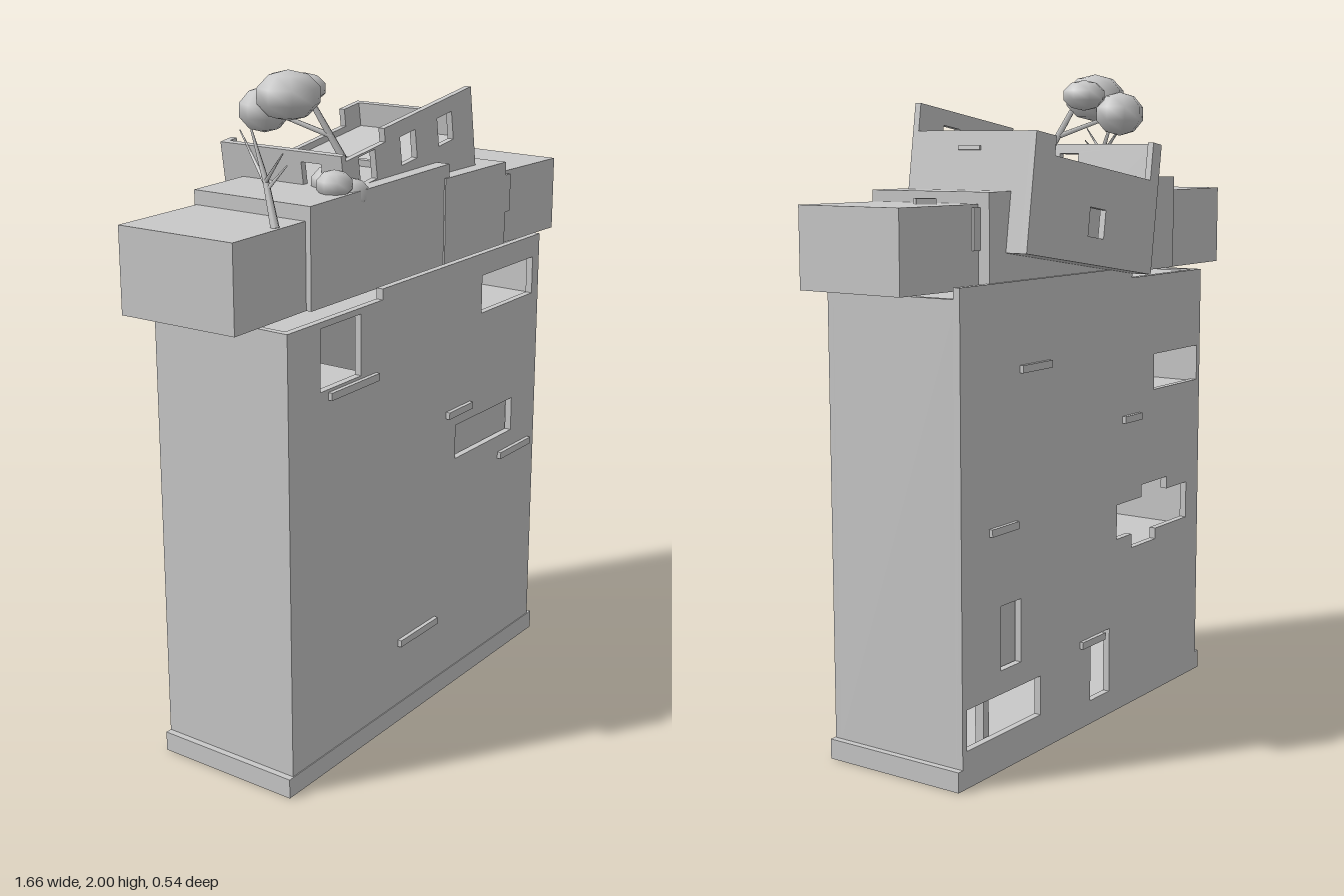
import * as THREE from 'three';

export function createModel() {
  const model = new THREE.Group();
  model.name = 'ruinedTower';
  const stone = new THREE.MeshStandardMaterial({ color: 0xc8c8c8 });
  stone.name = 'pale grey';

  const add = (name, geo, parent = model) => {
    const m = new THREE.Mesh(geo, stone);
    m.name = name;
    parent.add(m);
    return m;
  };
  // Box given by its extents on each axis
  const box = (name, x0, x1, y0, y1, z0, z1, parent) => {
    const m = add(name, new THREE.BoxGeometry(x1 - x0, y1 - y0, z1 - z0), parent);
    m.position.set((x0 + x1) / 2, (y0 + y1) / 2, (z0 + z1) / 2);
    return m;
  };
  const rect = (x0, x1, y0, y1) => [[x0, y0], [x1, y0], [x1, y1], [x0, y1]];
  const toVectors = (pts) => pts.map(([x, y]) => new THREE.Vector2(x, y));
  // Flat wall in the xy plane with holes cut through it
  const wall = (name, outline, holes, z, depth, parent) => {
    const s = new THREE.Shape(toVectors(outline));
    holes.forEach((h) => s.holes.push(new THREE.Path(toVectors(h))));
    const m = add(name, new THREE.ExtrudeGeometry(s, { depth, bevelEnabled: false }), parent);
    m.position.z = z;
    return m;
  };
  // Tapered stick between two points
  const stick = (name, a, b, r0, r1) => {
    const p = new THREE.Vector3(...a), q = new THREE.Vector3(...b);
    const d = q.clone().sub(p);
    const m = add(name, new THREE.CylinderGeometry(r1, r0, d.length(), 6));
    m.position.copy(p).add(q).multiplyScalar(0.5);
    m.quaternion.setFromUnitVectors(new THREE.Vector3(0, 1, 0), d.normalize());
  };
  const blob = (name, x, y, z, rx, ry, rz) => {
    const m = add(name, new THREE.SphereGeometry(1, 8, 5));
    m.position.set(x, y, z);
    m.scale.set(rx, ry, rz);
  };

  // Hollow main body
  const outline = [[-0.68, 0.03], [0.65, 0.03], [0.65, 1.41], [-0.24, 1.41], [-0.24, 1.378], [-0.68, 1.378]];
  wall('frontWall', outline, [
    rect(-0.535, -0.345, 1.18, 1.36),
    rect(0.3, 0.61, 1.22, 1.34),
    rect(0.16, 0.5, 0.78, 0.89),
  ], 0.235, 0.022);
  wall('backWall', outline, [
    rect(-0.66, -0.38, 1.01, 1.125),
    [[-0.16, 0.56], [-0.16, 0.67], [-0.31, 0.67], [-0.31, 0.71], [-0.47, 0.71], [-0.47, 0.67],
      [-0.6, 0.67], [-0.6, 0.55], [-0.4, 0.55], [-0.4, 0.515], [-0.25, 0.515], [-0.25, 0.56]],
    rect(0.365, 0.465, 0.3, 0.49),
    rect(0.265, 0.63, 0.11, 0.23),
    rect(-0.12, -0.01, 0.075, 0.28),
  ], -0.21, 0.022);
  box('rightSideWall', -0.68, -0.66, 0.03, 1.378, -0.2, 0.245);
  box('leftSideWall', 0.63, 0.65, 0.03, 1.378, -0.2, 0.245);
  box('plinth', -0.7, 0.67, 0, 0.06, -0.21, 0.26);
  box('bodyRoof', -0.67, 0.64, 1.362, 1.372, -0.2, 0.245);

  // Floors, posts and panels inside the window openings
  box('upperLeftFloor', 0.1, 0.64, 1.2, 1.215, -0.2, 0.245);
  box('upperRightFloor', -0.67, -0.3, 1.16, 1.175, -0.2, 0.245);
  box('middleFloor', -0.67, -0.3, 0.99, 1.005, -0.2, 0.245);
  box('lowerFloor', -0.67, -0.1, 0.495, 0.51, -0.2, 0.245);
  box('groundFloor', -0.67, 0.64, 0.06, 0.07, -0.2, 0.245);
  box('upperPost', 0.555, 0.58, 1.21, 1.362, 0.02, 0.05);
  box('lowerPost', 0.485, 0.51, 0.07, 0.3, -0.18, -0.15);
  box('recessPanel', 0.14, 0.52, 0.76, 0.91, 0.215, 0.225);
  box('backNichePanel', 0.345, 0.485, 0.28, 0.51, -0.18, -0.165);

  // Ledges on front and back
  [[-0.5, -0.27, 1.16], [0.105, 0.24, 0.937], [0.42, 0.61, 0.714], [-0.15, 0.055, 0.268]]
    .forEach(([x0, x1, y]) => box('frontLedge', x0, x1, y - 0.011, y + 0.011, 0.25, 0.27));
  [[0.22, 0.37, 1.16], [0.39, 0.52, 0.714], [-0.29, -0.19, 0.937], [-0.08, 0.05, 0.268]]
    .forEach(([x0, x1, y]) => box('backLedge', x0, x1, y - 0.011, y + 0.011, -0.222, -0.2));

  // Overhanging upper blocks, each set slightly askew
  box('rightEndBlock', -0.83, -0.5, 1.395, 1.643, -0.19, 0.195).rotation.y = 0.025;
  wall('middleBlock', [[-0.51, 1.395], [0.178, 1.395], [0.178, 1.7], [-0.51, 1.685]], [], -0.2, 0.408);
  box('leftBlock', 0.15, 0.5, 1.395, 1.66, -0.2, 0.213);
  box('leftEndBlock', 0.495, 0.823, 1.395, 1.627, -0.158, 0.203).rotation.y = -0.04;
  box('blockStep', 0.49, 0.53, 1.5, 1.618, -0.17, 0.213);
  box('loosePaver', 0.557, 0.613, 1.62, 1.643, -0.073, -0.017).rotation.y = Math.PI / 4;

  // Tilted roofless room
  const room = new THREE.Group();
  room.name = 'tiltedRoom';
  room.position.set(-0.25, 1.39, 0);
  room.rotation.z = 0.148;
  model.add(room);
  wall('roomFrontWall',
    [[0, 0.2], [0.68, 0.14], [0.68, 0.42], [0.213, 0.42], [0.213, 0.38], [0.02, 0.38], [0.02, 0.4], [0, 0.4]],
    [0.12, 0.327, 0.525].map((u) => rect(u - 0.04, u + 0.04, 0.288, 0.374)),
    0.143, 0.02, room);
  wall('roomBackWall',
    [[0, 0], [0.68, 0], [0.68, 0.34], [0.58, 0.34], [0.58, 0.285], [0.05, 0.285], [0.05, 0.4], [0, 0.4]],
    [rect(0.29, 0.375, 0.08, 0.165)], -0.27, 0.02, room);
  box('roomLeftWall', 0.66, 0.68, 0, 0.34, -0.255, 0.15, room);
  // Wall with a window, turned to run along the depth
  const side = wall('roomRightWall', [[-0.15, 0], [0.255, 0], [0.255, 0.4], [-0.15, 0.4]],
    [rect(-0.09, -0.02, 0.29, 0.37)], 0, 0.02, room);
  side.rotation.y = Math.PI / 2;
  box('roomBase', 0.01, 0.67, 0, 0.015, -0.265, 0.1, room);
  box('roomFloorHigh', 0.31, 0.67, 0.245, 0.265, -0.26, 0.15, room);
  box('roomFloorLow', 0.01, 0.31, 0.225, 0.245, -0.26, 0.15, room);
  box('roomPartition', 0.3, 0.315, 0.2, 0.285, -0.26, 0.15, room);
  box('roomLedge', 0.67, 0.688, 0.285, 0.297, -0.085, -0.01, room);

  // Leafy tree and bushes
  stick('treeTrunk', [-0.11, 1.65, 0.09], [-0.185, 1.89, -0.02], 0.014, 0.009);
  stick('treeBranch', [-0.16, 1.81, 0.02], [-0.24, 1.88, -0.15], 0.009, 0.006);
  blob('treeCrown', -0.255, 1.93, -0.06, 0.098, 0.072, 0.095);
  blob('treeCrown', -0.145, 1.935, -0.09, 0.063, 0.046, 0.07);
  blob('treeCrown', -0.24, 1.88, -0.16, 0.08, 0.066, 0.075);
  blob('bush', -0.33, 1.71, 0.155, 0.052, 0.042, 0.055);
  blob('bush', -0.265, 1.675, 0.165, 0.06, 0.045, 0.05);
  blob('bush', -0.25, 1.7, 0.09, 0.07, 0.05, 0.06);

  // Bare tree
  stick('bareTrunk', [-0.62, 1.64, 0.175], [-0.6, 1.76, 0.13], 0.013, 0.009);
  stick('bareTrunkTop', [-0.6, 1.76, 0.13], [-0.595, 1.89, 0.08], 0.009, 0.003);
  stick('bareBranch', [-0.6, 1.75, 0.13], [-0.545, 1.875, 0], 0.007, 0.002);
  stick('bareBranch', [-0.605, 1.76, 0.135], [-0.615, 1.84, 0.2], 0.006, 0.002);
  stick('bareBranch', [-0.605, 1.74, 0.14], [-0.565, 1.8, 0.175], 0.006, 0.002);

  return model;
}
